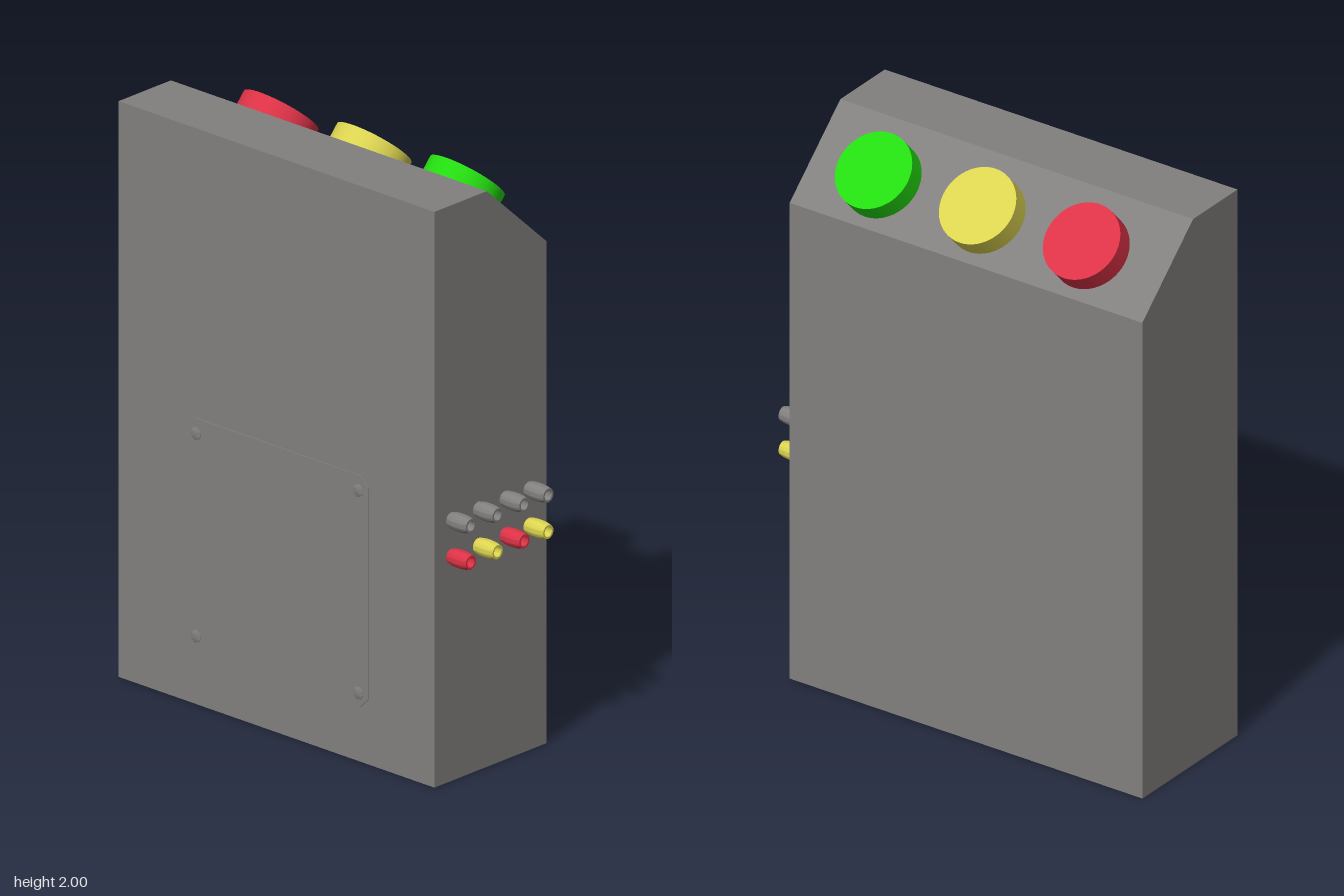
import * as THREE from 'three';
import { toCreasedNormals } from 'three/addons/utils/BufferGeometryUtils.js';

const flat = (name, color) => {
  const m = new THREE.MeshStandardMaterial({ color });
  m.name = name;
  return m;
};

const shapeOf = (pts) => new THREE.Shape(pts.map(([x, y]) => new THREE.Vector2(x, y)));

const latheOf = (pts, segments) =>
  toCreasedNormals(new THREE.LatheGeometry(pts.map(([r, y]) => new THREE.Vector2(r, y)), segments), 0.5);

export function createModel() {
  const grey = flat('casing grey', 0x81807e);
  const red = flat('signal red', 0xdc3246);
  const yellow = flat('signal yellow', 0xdbd350);
  const green = flat('signal green', 0x24dc10);

  const model = new THREE.Group();
  model.name = 'controlBox';
  const add = (name, geometry, material, x = 0, y = 0, z = 0) => {
    const mesh = new THREE.Mesh(geometry, material);
    mesh.name = name;
    mesh.position.set(x, y, z);
    model.add(mesh);
    return mesh;
  };

  // Casing: side outline with a sloped upper back, extruded across the width
  const left = -0.738, right = 0.652, front = 0.27, back = -0.255;
  const side = shapeOf([[-front, 0], [-back, 0], [-back, 1.735], [-0.025, 1.99], [-front, 1.99]]);
  const casing = new THREE.ExtrudeGeometry(side, { depth: right - left, bevelEnabled: false });
  casing.rotateY(Math.PI / 2);
  add('casing', casing, grey, left);

  // Three large buttons standing square on the slope
  const tilt = Math.atan2(0.255, 0.28);
  const button = new THREE.CylinderGeometry(0.135, 0.135, 0.077, 64);
  button.translate(0, 0.0385, 0);
  [['redButton', red, -0.445], ['yellowButton', yellow, -0.035], ['greenButton', green, 0.375]]
    .forEach(([name, material, x]) => {
      add(name, button, material, x, 1.851, -0.128).rotation.x = -tilt;
    });

  // Hollow sockets in two rows on the left side
  const socket = latheOf([
    [0.025, 0], [0.028, 0.012], [0.03, 0.03], [0.03, 0.052], [0.028, 0.07], [0.024, 0.086],
    [0.017, 0.086], [0.017, 0.002], [0, 0.002],
  ], 32);
  const pin = new THREE.CylinderGeometry(0.009, 0.009, 0.06, 20);
  pin.translate(0, 0.03, 0);
  [0.19, 0.065, -0.06, -0.172].forEach((z, i) => {
    const parts = [
      ['greySocket', socket, grey, 0.904],
      ['socketPin', pin, grey, 0.904],
      [i % 2 ? 'yellowSocket' : 'redSocket', socket, i % 2 ? yellow : red, 0.778],
    ];
    parts.forEach(([name, geometry, material, y]) => {
      add(name, geometry, material, right, y, z).rotation.z = -Math.PI / 2;
    });
  });

  // Thin access cover with clipped corners on the front
  const h = 0.4, c = 0.365;
  const cover = new THREE.ExtrudeGeometry(
    shapeOf([[-c, -h], [c, -h], [h, -c], [h, c], [c, h], [-c, h], [-h, c], [-h, -c]]),
    { depth: 0.004, bevelEnabled: false });
  add('accessCover', cover, grey, -0.037, 0.59, front);

  // Low screw heads in the cover corners
  const screw = latheOf([[0.022, 0], [0.022, 0.002], [0.015, 0.005], [0, 0.005]], 24);
  for (const sx of [-1, 1]) {
    for (const sy of [-1, 1]) {
      add('coverScrew', screw, grey, -0.037 + sx * 0.357, 0.587 + sy * 0.35, front + 0.003)
        .rotation.x = Math.PI / 2;
    }
  }

  return model;
}
